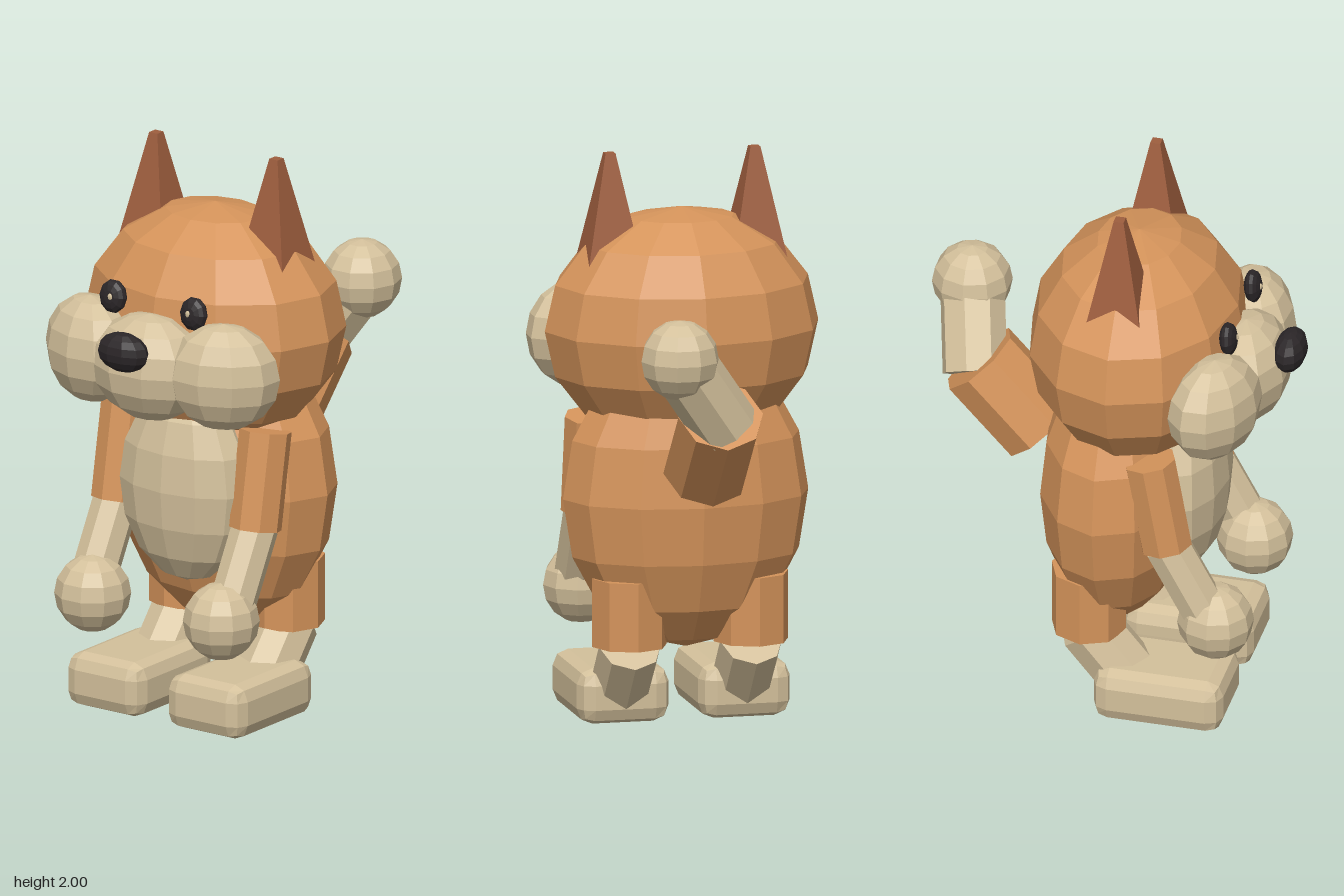
import * as THREE from 'three';
import { RoundedBoxGeometry } from 'three/addons/geometries/RoundedBoxGeometry.js';

const mat = (name, color) => {
  const m = new THREE.MeshStandardMaterial({ color, flatShading: true });
  m.name = name;
  return m;
};

export function createModel() {
  const orange = mat('orange fur', 0xd4935a);
  const cream = mat('cream fur', 0xd3c09b);
  const brown = mat('ear brown', 0x9e5e3e);
  const black = mat('black', 0x2b2628);
  const model = new THREE.Group();
  model.name = 'dog';

  const add = (name, geometry, material, x, y, z) => {
    const mesh = new THREE.Mesh(geometry, material);
    mesh.name = name;
    mesh.position.set(x, y, z);
    model.add(mesh);
    return mesh;
  };
  // Faceted ellipsoid
  const ball = (name, material, [x, y, z], [rx, ry, rz], sides = 10) =>
    add(name, new THREE.SphereGeometry(1, sides, 8).scale(rx, ry, rz), material, x, y, z);
  // Eight-sided cylinder running between two points
  const limb = (name, material, from, to, radius) => {
    const a = new THREE.Vector3(...from), b = new THREE.Vector3(...to);
    const c = a.clone().add(b).multiplyScalar(0.5);
    const mesh = add(name, new THREE.CylinderGeometry(radius, radius, a.distanceTo(b), 8), material, c.x, c.y, c.z);
    mesh.quaternion.setFromUnitVectors(new THREE.Vector3(0, 1, 0), b.sub(a).normalize());
    return mesh;
  };

  // Body and head
  ball('body', orange, [0, 0.8, 0.03], [0.435, 0.535, 0.275], 12);
  ball('belly', cream, [0, 0.825, 0.26], [0.265, 0.35, 0.15], 12);
  ball('head', orange, [0, 1.38, 0.09], [0.485, 0.42, 0.38], 12);
  ball('muzzle', cream, [0, 1.3, 0.47], [0.225, 0.19, 0.155]);
  ball('nose', black, [0, 1.39, 0.627], [0.103, 0.07, 0.057]);

  // Paired parts
  for (const [side, s] of [['left', 1], ['right', -1]]) {
    ball(side + 'Cheek', cream, [s * 0.285, 1.305, 0.43], [0.2, 0.19, 0.14]).rotation.y = s * 0.4;

    // Eye with its poles front and back
    const eye = ball(side + 'Eye', black, [s * 0.172, 1.515, 0.45], [0.055, 0.03, 0.06]);
    eye.rotation.x = Math.PI / 2 - 0.12;
    ball(side + 'EyeGlint', cream, [s * 0.166, 1.52, 0.478], [0.01, 0.012, 0.006], 6);

    // Square tapering ear
    const ear = new THREE.CylinderGeometry(0.025, 0.14, 0.4, 4).rotateY(Math.PI / 4);
    add(side + 'Ear', ear, brown, s * 0.257, 1.8, 0.085);

    // Arm
    limb(side + 'UpperArm', orange, [s * 0.295, 1.055, 0.2], [s * 0.295, 0.715, 0.26], 0.092);
    limb(side + 'Forearm', cream, [s * 0.295, 0.72, 0.26], [s * 0.295, 0.46, 0.4], 0.082);
    ball(side + 'Paw', cream, [s * 0.275, 0.42, 0.43], [0.133, 0.137, 0.133]);

    // Leg
    limb(side + 'Thigh', orange, [s * 0.215, 0.29, -0.035], [s * 0.215, 0.53, -0.035], 0.132);
    limb(side + 'Shin', cream, [s * 0.215, 0.12, 0.1], [s * 0.215, 0.29, -0.04], 0.11);
    add(side + 'Foot', new RoundedBoxGeometry(0.325, 0.195, 0.46, 1, 0.055), cream, s * 0.215, 0.0975, 0.24);
  }

  // Tail bending up and to one side
  limb('tailBase', orange, [0, 0.935, -0.26], [0, 1.175, -0.48], 0.15);
  limb('tailMiddle', cream, [-0.02, 1.13, -0.49], [0.16, 1.39, -0.545], 0.115);
  ball('tailTip', cream, [0.16, 1.39, -0.545], [0.137, 0.14, 0.14]);

  return model;
}
